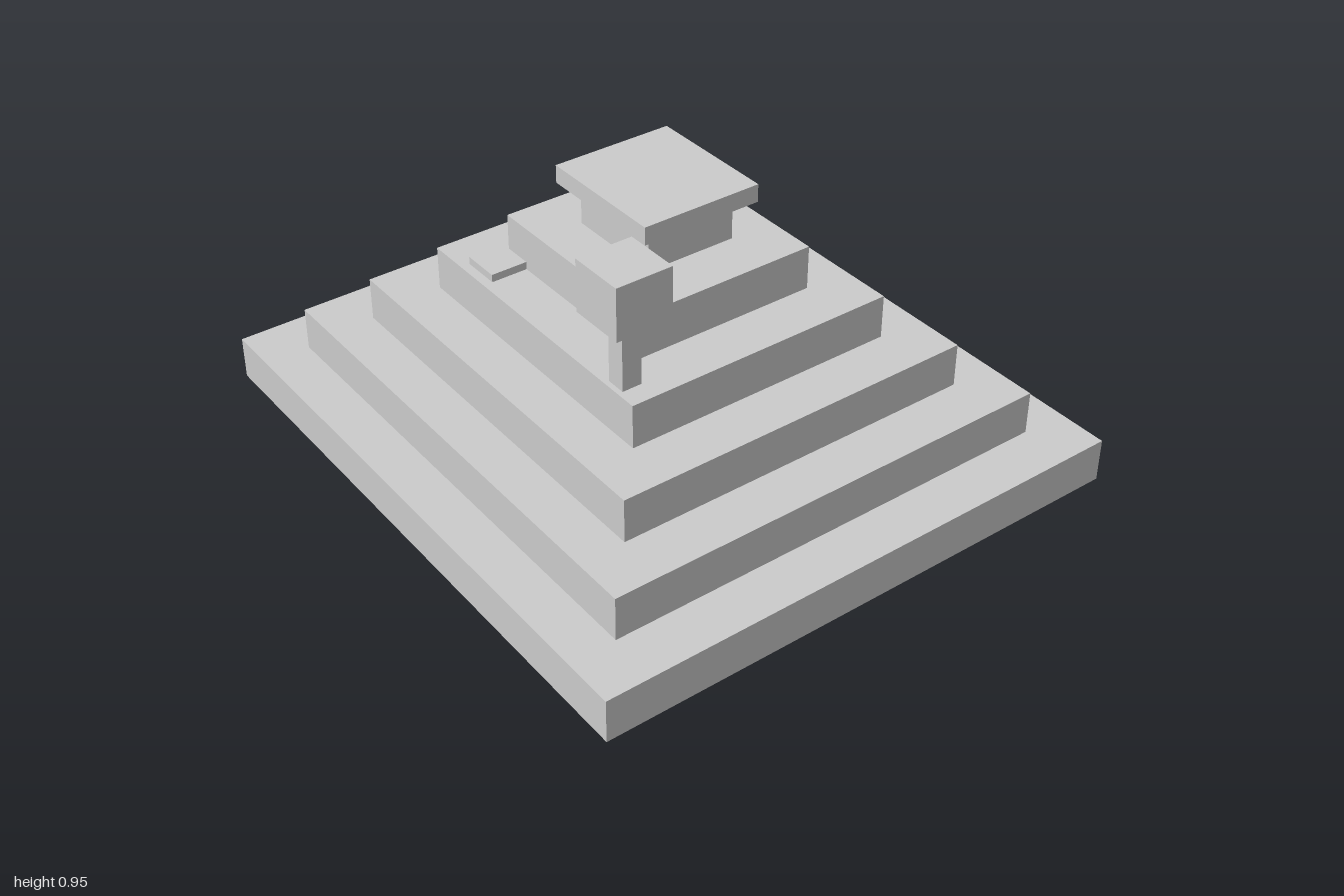
import * as THREE from 'three';

const material = new THREE.MeshStandardMaterial({ color: 0xcccccc, flatShading: true });

// Box standing on height y0, centred on x and z
function block(name, w, h, d, x, y0, z) {
  const mesh = new THREE.Mesh(new THREE.BoxGeometry(w, h, d), material);
  mesh.name = name;
  mesh.position.set(x, y0 + h / 2, z);
  return mesh;
}

export function createModel() {
  const model = new THREE.Group();
  model.name = 'steppedPyramid';

  // Five shrinking terraces
  const step = 0.1415;
  const terraces = new THREE.Group();
  terraces.name = 'terraces';
  for (let i = 0; i < 5; i++) {
    const s = 1 - i / 6;
    terraces.add(block(`terrace${i + 1}`, 2 * s, step, 1.8 * s, 0, i * step, 0));
  }
  model.add(terraces);

  // Temple on the summit with an overhanging roof slab
  const temple = new THREE.Group();
  temple.name = 'temple';
  temple.add(block('templeWalls', 0.33, 0.13, 0.3, 0, 5 * step, 0));
  temple.add(block('templeRoof', 0.434, 0.058, 0.4, 0, 0.837, 0));
  model.add(temple);

  // Tree on the fourth terrace, its crown floating just above the trunk
  const ledge = 4 * step;
  const tree = new THREE.Group();
  tree.name = 'tree';
  tree.add(block('trunk', 0.063, 0.194, 0.063, 0.4, ledge, 0.402));
  tree.add(block('crown', 0.183, 0.168, 0.183, 0.4, 0.784, 0.402));
  model.add(tree);

  // Thin slab lying on the same terrace
  model.add(block('stoneSlab', 0.125, 0.025, 0.12, -0.302, ledge, 0.36));

  return model;
}
